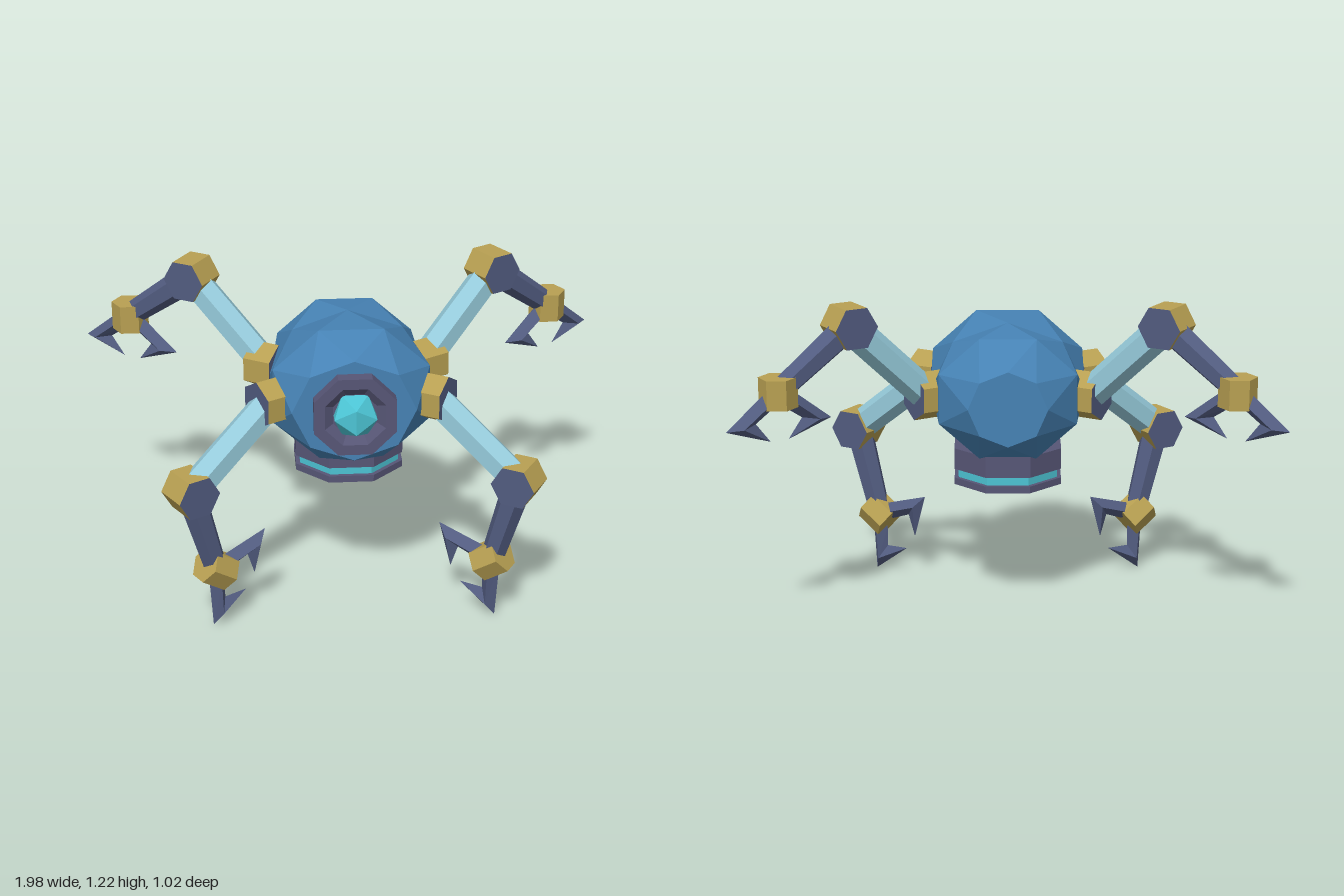
import * as THREE from 'three';

const paint = (name, color) => {
  const m = new THREE.MeshStandardMaterial({ color, flatShading: true });
  m.name = name;
  return m;
};

// Skin a list of equal-sided rings; each ring may be turned half a step from the last.
function loft(rings) {
  const n = rings[0].length, last = rings.length - 1, index = [];
  for (let i = 0; i < last; i++) {
    for (let j = 0; j < n; j++) {
      const a = i * n + j, a2 = i * n + (j + 1) % n;
      index.push(a, a + n, a2, a2, a + n, a2 + n);
    }
  }
  for (let j = 1; j < n - 1; j++) {
    index.push(0, j, j + 1);
    index.push(last * n, last * n + j + 1, last * n + j);
  }
  const geo = new THREE.BufferGeometry();
  geo.setAttribute('position', new THREE.Float32BufferAttribute(rings.flat(2), 3));
  geo.setIndex(index);
  geo.computeVertexNormals();
  return geo;
}

export function createModel() {
  const model = new THREE.Group();
  model.name = 'fourLeggedRobot';

  const blue = paint('hull blue', 0x4682b4);
  const paleBlue = paint('pale limb blue', 0x96cbdb);
  const gold = paint('joint gold', 0xb8a052);
  const slate = paint('claw slate', 0x525c80);
  const purple = paint('housing purple', 0x575676);
  const cyan = paint('glow cyan', 0x4cc4d4);

  const add = (parent, name, geo, mat, x = 0, y = 0, z = 0) => {
    const mesh = new THREE.Mesh(geo, mat);
    mesh.name = name;
    mesh.position.set(x, y, z);
    parent.add(mesh);
    return mesh;
  };
  const hex = (rTop, rBottom, h) => new THREE.CylinderGeometry(rTop, rBottom, h, 6).rotateY(Math.PI / 2);
  const octagon = (r, h) => new THREE.CylinderGeometry(r, r, h, 8).rotateY(Math.PI / 8);

  // Faceted hull: staggered oval rings from front to back
  const bodyY = 0.855;
  const hullRings = [
    [0.35, 0.225, 0.195], [0.2, 0.31, 0.276], [0, 0.29, 0.25],
    [-0.17, 0.275, 0.245], [-0.32, 0.145, 0.14],
  ].map(([z, rx, ry], i) => Array.from({ length: 8 }, (_, j) => {
    const a = (j + i / 2) * Math.PI / 4;
    return [rx * Math.cos(a), ry * Math.sin(a), z];
  }));
  add(model, 'hull', loft(hullRings), blue, 0, bodyY, 0);

  // Eye housing with a recessed middle, and the gem eye
  const housing = [[0.16, -0.03], [0.16, 0.05], [0.118, 0.05], [0.085, 0.025], [0, 0.025]]
    .map(([r, y]) => new THREE.Vector2(r, y));
  add(model, 'eyeHousing',
    new THREE.LatheGeometry(housing, 8).rotateY(Math.PI / 8).rotateX(Math.PI / 2),
    purple, 0, bodyY, 0.35);
  add(model, 'eye', new THREE.IcosahedronGeometry(0.09, 0), cyan, 0, bodyY, 0.375);

  // Underside thruster
  add(model, 'thrusterCollar', octagon(0.217, 0.08), purple, 0, 0.6, 0.01);
  add(model, 'thrusterGlow', octagon(0.2, 0.04), cyan, 0, 0.54, 0.01);
  add(model, 'thrusterPlate', octagon(0.217, 0.026), purple, 0, 0.513, 0.01);

  // Hooked prong: x sideways, y along the claw; widest at the elbow, then back in to the tip
  const section = (inner, outer, w) => {
    const mx = (inner[0] + outer[0]) / 2, my = (inner[1] + outer[1]) / 2;
    return [[mx, my, w], [...inner, 0], [mx, my, -w], [...outer, 0]];
  };
  const prongGeo = loft([
    section([0.025, 0.06], [0.035, -0.015], 0.036),
    section([0.09, 0.105], [0.205, 0.12], 0.032),
    section([0.035, 0.178], [0.035, 0.178], 0),
  ]);

  // Limb stretched between two joints of a leg, inside the leg's own plane
  const limb = (leg, name, a, b, rA, rB, mat) => {
    const dir = new THREE.Vector3(b[0] - a[0], b[1] - a[1], 0);
    const mesh = add(leg, name, hex(rB, rA, dir.length()), mat,
      (a[0] + b[0]) / 2, (a[1] + b[1]) / 2, 0);
    mesh.quaternion.setFromUnitVectors(new THREE.Vector3(0, 1, 0), dir.normalize());
  };

  // Leg: local x points away from the body
  const makeLeg = (name, x, z, heading, knee, wrist, clawTurn) => {
    const leg = new THREE.Group();
    leg.name = name;
    leg.position.set(x, 0, z);
    leg.rotation.y = -heading;
    const shoulder = [0, 0.853];
    const jointMats = [gold, slate, slate];
    add(leg, 'shoulder', hex(0.09, 0.09, 0.11).rotateZ(-Math.PI / 2), jointMats, ...shoulder);
    add(leg, 'knee', hex(0.084, 0.084, 0.13).rotateX(Math.PI / 2), jointMats, ...knee);
    limb(leg, 'upperLeg', shoulder, knee, 0.06, 0.06, paleBlue);
    limb(leg, 'lowerLeg', knee, wrist, 0.056, 0.044, slate);

    const claw = new THREE.Group();
    claw.name = 'claw';
    claw.position.set(wrist[0], wrist[1], 0);
    claw.rotation.z = clawTurn;
    add(claw, 'wrist', new THREE.CylinderGeometry(0.07, 0.07, 0.11, 6), gold);
    for (const turn of [0, Math.PI]) add(claw, 'prong', prongGeo, slate).rotation.y = turn;
    leg.add(claw);
    model.add(leg);
  };

  const spread = 0.54;
  for (const [side, label] of [[1, 'left'], [-1, 'right']]) {
    const flip = a => (side > 0 ? a : Math.PI - a);
    makeLeg(label + 'FrontLeg', side * 0.3, 0.24, flip(spread), [0.343, 0.587], [0.247, 0.243], 2.178);
    makeLeg(label + 'BackLeg', side * 0.3, -0.095, flip(-spread), [0.315, 1.152], [0.6, 0.945], Math.PI);
  }
  return model;
}
